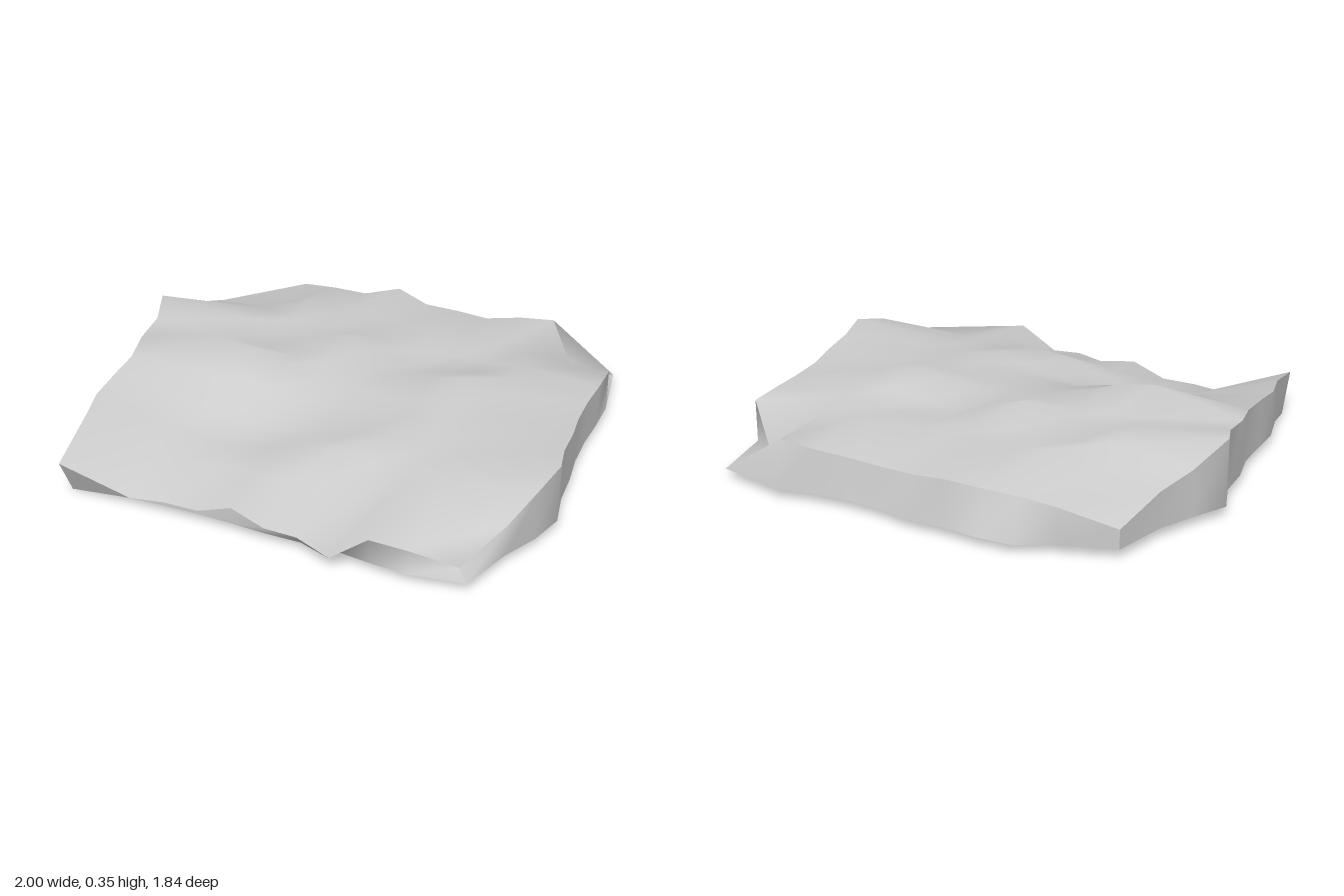
import * as THREE from 'three';

const N = 11, L = N - 1, BASE = 0.04;

// Height field, one row per line of nodes, back row first, left to right
const heights = [
  [.12, .19, .20, .20, .23, .20, .20, .20, .22, .235, .055],
  [.19, .21, .28, .25, .25, .25, .25, .24, .24, .23, .22],
  [.235, .275, .25, .24, .24, .24, .23, .23, .23, .25, .225],
  [.32, .29, .27, .27, .31, .27, .22, .23, .26, .27, .23],
  [.29, .27, .26, .25, .27, .26, .26, .28, .31, .265, .235],
  [.275, .355, .335, .28, .25, .24, .235, .245, .27, .26, .25],
  [.26, .27, .28, .25, .22, .23, .245, .25, .26, .25, .265],
  [.25, .20, .17, .16, .17, .19, .22, .25, .23, .23, .285],
  [.235, .16, .14, .135, .17, .22, .24, .22, .23, .21, .25],
  [.225, .125, .13, .13, .14, .16, .17, .15, .21, .18, .17],
  [.165, .04, .055, .055, .11, .07, .085, .06, .165, .145, .05],
];

// Ragged rim: x of the side edges (back to front), z of the back and front edges
const westX = [-.79, -.85, -.92, -1, -.95, -.945, -.915, -.915, -.915, -.88, -.845];
const eastX = [.77, .94, .94, .935, .94, .96, .97, 1, .96, .89, .765];
const backZ = [-.77, -.84, -.84, -.84, -.89, -.85, -.845, -.83, -.86, -.865, -.69];
const frontZ = [.89, .83, .825, .825, .83, .85, .875, .915, .89, .87, .77];

// Foot of the back and front walls
const footBackZ = [-.77, -.84, -.915, -.92, -.905, -.91, -.88, -.87, -.88, -.91, -.84];
const footFrontZ = [.81, .83, .825, .825, .83, .84, .84, .84, .86, .87, .84];

function topPoint(i, j) {
  const x = i === 0 ? westX[j] : i === L ? eastX[j] : -0.576 + 0.147 * (i - 1);
  const z = j === 0 ? backZ[i] : j === L ? frontZ[i] : -0.55 + 0.146 * (j - 1);
  return [x, heights[j][i], z];
}

function footPoint(i, j) {
  let [x, , z] = topPoint(i, j);
  let y = BASE;
  if (j === 0) z = footBackZ[i];
  if (j === L) z = footFrontZ[i];
  if (i === L && j === 0) x = 0.89;
  if (i === L && j === L) x = 0.82;
  if (i === 0 && j === L) y = 0; // one corner hangs lower
  return [x, y, z];
}

function makeMesh(name, points, index) {
  const geometry = new THREE.BufferGeometry();
  geometry.setAttribute('position', new THREE.Float32BufferAttribute(points.flat(), 3));
  geometry.setIndex(index);
  geometry.computeVertexNormals();
  const mesh = new THREE.Mesh(geometry, new THREE.MeshStandardMaterial({ color: 0xcccccc, side: THREE.DoubleSide }));
  mesh.name = name;
  return mesh;
}

// Grid of nodes facing up, or down when flipped
function makeSheet(name, pointAt, flip) {
  const points = [], index = [];
  for (let j = 0; j < N; j++) {
    for (let i = 0; i < N; i++) {
      points.push(pointAt(i, j));
      if (i === L || j === L) continue;
      const a = j * N + i, b = a + 1, c = a + N, d = c + 1;
      if (flip) index.push(a, b, c, b, d, c);
      else index.push(a, c, b, b, c, d);
    }
  }
  return makeMesh(name, points, index);
}

// Upright wall along one edge of the grid
function makeWall(name, node) {
  const points = [], index = [];
  for (let k = 0; k < N; k++) {
    points.push(footPoint(...node(k)), topPoint(...node(k)));
    const a = 2 * k;
    if (k < L) index.push(a, a + 2, a + 3, a, a + 3, a + 1);
  }
  return makeMesh(name, points, index);
}

export function createModel() {
  const group = new THREE.Group();
  group.name = 'groundSlab';
  group.add(
    makeSheet('terrainTop', topPoint, false),
    makeSheet('underside', footPoint, true),
    // Walls run counter-clockwise as seen from above
    makeWall('frontWall', k => [k, L]),
    makeWall('eastWall', k => [L, L - k]),
    makeWall('backWall', k => [L - k, 0]),
    makeWall('westWall', k => [0, k]),
  );
  return group;
}
